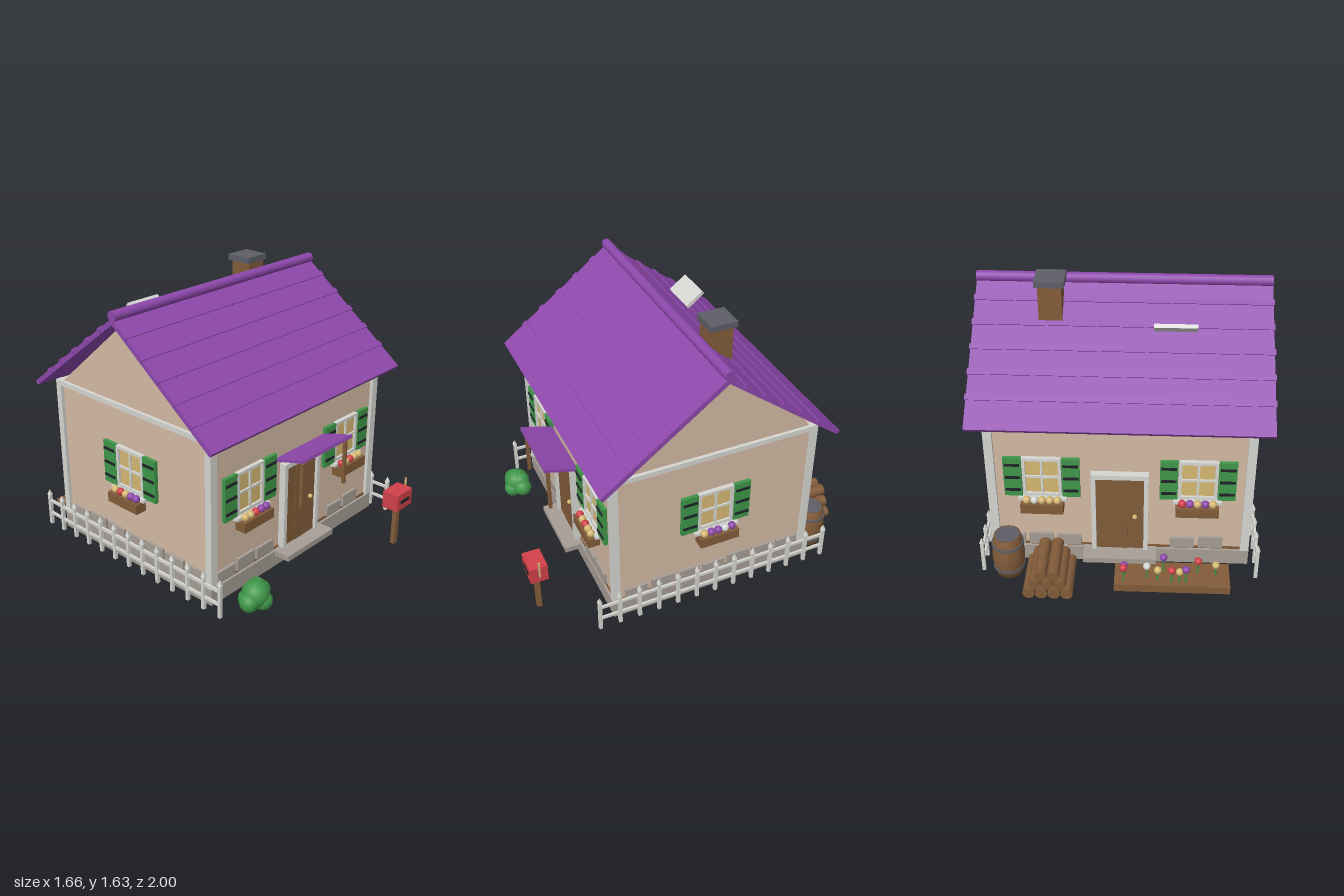
import * as THREE from 'three';

const mat = (name, color) => {
  const m = new THREE.MeshStandardMaterial({ color });
  m.name = name;
  return m;
};
const purple = mat('purple', 0x8e48ac), wall = mat('plaster', 0xd4baa4), trim = mat('trim', 0xd6d6d2);
const stone = mat('stone', 0xa69e96), wood = mat('wood', 0x835c3a), green = mat('green', 0x3f9749);
const yellow = mat('yellow', 0xd6b872), red = mat('red', 0xd2404a);
const slate = mat('slate', 0x5e5e68), black = mat('black', 0x1e2226);

const CZ = -0.05, HX = 0.725, HZ = 0.605; // house centre and wall half sizes

function add(parent, name, geo, material, x = 0, y = 0, z = 0) {
  const m = new THREE.Mesh(geo, material);
  m.name = name;
  m.position.set(x, y, z);
  parent.add(m);
  return m;
}
const box = (p, name, material, w, h, d, x, y, z) => add(p, name, new THREE.BoxGeometry(w, h, d), material, x, y, z);
const ball = (p, name, material, r, x, y, z) => add(p, name, new THREE.SphereGeometry(r, 16, 12), material, x, y, z);
function group(p, name, x = 0, y = 0, z = 0, ry = 0) {
  const g = new THREE.Group();
  g.name = name;
  g.position.set(x, y, z);
  g.rotation.y = ry;
  p.add(g);
  return g;
}

// Window with shutters and flower box, facing +z from the wall plane
function addWindow(p, x, blooms) {
  const g = group(p, 'window', x, 0.6375, 0);
  box(g, 'glass', yellow, 0.21, 0.25, 0.012, 0, 0, 0.006);
  for (const s of [-1, 1]) {
    box(g, 'frameSide', trim, 0.018, 0.255, 0.026, s * 0.1, 0, 0.013);
    box(g, 'frameRail', trim, 0.215, 0.018, 0.026, 0, s * 0.119, 0.013);
    box(g, 'shutter', green, 0.1, 0.26, 0.022, s * 0.162, 0, 0.017);
    for (let i = -1; i <= 1; i++) box(g, 'shutterSlot', black, 0.085, 0.015, 0.008, s * 0.162, i * 0.085, 0.03);
  }
  box(g, 'mullion', trim, 0.014, 0.24, 0.02, 0, 0, 0.012);
  box(g, 'crossbar', trim, 0.2, 0.014, 0.02, 0, 0, 0.012);
  box(g, 'sill', trim, 0.27, 0.018, 0.05, 0, -0.138, 0.025);
  box(g, 'flowerBox', wood, 0.24, 0.06, 0.07, 0, -0.178, 0.055);
  blooms.forEach((m, i) => ball(g, 'flower', m, 0.023, (i - 2) * 0.043, -0.132, 0.06));
}

// Door with frame, knob and step
function addDoor(p) {
  const g = group(p, 'door');
  for (let i = -1; i <= 1; i++) box(g, 'doorPlank', wood, 0.09, 0.51, i ? 0.024 : 0.03, i * 0.09, 0.388, 0.012);
  for (const s of [-1, 1]) box(g, 'doorPost', trim, 0.026, 0.54, 0.044, s * 0.148, 0.405, 0.02);
  box(g, 'doorLintel', trim, 0.322, 0.03, 0.044, 0, 0.66, 0.02);
  ball(g, 'doorKnob', yellow, 0.014, 0.085, 0.38, 0.036);
  box(g, 'doorStep', stone, 0.42, 0.034, 0.12, 0, 0.118, 0.06);
}

// Row of uneven stones along the foot of a wall
function addStones(p, half, gap) {
  for (let x = -half + 0.08, i = 0; x < half - 0.06; x += 0.163, i++) {
    if (Math.abs(x) < gap) continue;
    const h = 0.065 + 0.012 * ((i * 2) % 3) / 2;
    box(p, 'wallStone', stone, 0.14, h, 0.02, x, 0.145 + h / 2, 0.008);
  }
}

function addRoof(p) {
  const angle = Math.atan2(0.535, 0.705), len = 0.885;
  for (const ry of [0, Math.PI]) {
    const g = group(group(p, 'roofSide', 0, 1.535, CZ, ry), 'roofSlope');
    g.rotation.x = angle;
    box(g, 'roofPanel', purple, 1.65, 0.028, len, 0, 0, len / 2);
    for (let i = 0; i < 5; i++)
      box(g, 'roofBatten', purple, 1.662, 0.022, 0.034, 0, 0.009, len * (0.13 + i * 0.166));
  }
  const ridge = add(p, 'ridgeCap', new THREE.CylinderGeometry(0.03, 0.03, 1.65, 16), purple, 0, 1.562, CZ);
  ridge.rotation.z = Math.PI / 2;
}

function addFence(p, x) {
  const g = group(p, 'fence', x, 0, CZ);
  for (let i = 0; i < 13; i++) {
    const z = (i - 6) * 0.121;
    box(g, 'picket', trim, 0.02, 0.205, 0.02, 0, 0.13, z);
    const tip = add(g, 'picketTip', new THREE.ConeGeometry(0.018, 0.035, 4), trim, 0, 0.249, z);
    tip.rotation.y = Math.PI / 4;
  }
  for (const y of [0.105, 0.19]) box(g, 'fenceRail', trim, 0.014, 0.016, 1.45, 0, y, 0);
}

function addBarrel(p) {
  const g = group(p, 'barrel', 0.635, 0.03, -0.775);
  const pts = [[0, 0], [0.076, 0], [0.088, 0.06], [0.094, 0.135], [0.088, 0.21], [0.076, 0.27], [0.066, 0.27], [0.066, 0.262], [0, 0.262]];
  add(g, 'barrelBody', new THREE.LatheGeometry(pts.map(q => new THREE.Vector2(...q)), 20), wood);
  add(g, 'barrelLid', new THREE.CylinderGeometry(0.07, 0.07, 0.006, 20), slate, 0, 0.267, 0);
  for (const y of [0.055, 0.215]) add(g, 'barrelHoop', new THREE.CylinderGeometry(0.092, 0.092, 0.016, 20), slate, 0, y, 0);
}

export function createModel() {
  const model = new THREE.Group();
  model.name = 'cottage';

  // Base, walls and gable
  box(model, 'foundation', stone, 1.49, 0.1, 1.25, 0, 0.08, CZ);
  box(model, 'baseboard', wood, 1.46, 0.016, 1.22, 0, 0.138, CZ);
  box(model, 'walls', wall, HX * 2, 0.89, HZ * 2, 0, 0.575, CZ);
  const tri = new THREE.Shape([[-0.585, 0], [0.585, 0], [0, 0.5]].map(q => new THREE.Vector2(...q)));
  const gable = add(model, 'gable', new THREE.ExtrudeGeometry(tri, { depth: HX * 2, bevelEnabled: false }), wall, -HX, 1.015, CZ);
  gable.rotation.y = Math.PI / 2;

  // Corner posts and top beams
  for (const s of [-1, 1]) {
    for (const t of [-1, 1]) box(model, 'cornerPost', trim, 0.05, 0.87, 0.042, s * 0.72, 0.565, CZ + t * 0.604);
    box(model, 'sideBeam', trim, 0.04, 0.03, 1.25, s * 0.725, 1.007, CZ);
    box(model, 'longBeam', trim, 1.49, 0.03, 0.04, 0, 1.005, CZ + s * 0.605);
    addFence(model, s * 0.785);
  }

  // Four facades
  const front = group(model, 'frontFacade', 0, 0, CZ + HZ);
  const back = group(model, 'backFacade', 0, 0, CZ - HZ, Math.PI);
  const left = group(model, 'leftFacade', HX, 0, CZ, Math.PI / 2);
  const right = group(model, 'rightFacade', -HX, 0, CZ, -Math.PI / 2);
  addWindow(front, -0.434, [yellow, yellow, red, purple, purple]);
  addWindow(front, 0.434, [red, yellow, red, yellow, yellow]);
  addWindow(back, -0.434, [yellow, trim, yellow, yellow, yellow]);
  addWindow(back, 0.434, [red, purple, yellow, purple, yellow]);
  addWindow(left, 0, [yellow, purple, purple, trim, purple]);
  addWindow(right, 0, [yellow, red, yellow, purple, purple]);
  for (const f of [front, back]) {
    addDoor(f);
    addStones(f, 0.7, 0.2);
  }
  for (const f of [left, right]) addStones(f, 0.56, 0);

  // Awning over the front door
  const awning = box(model, 'awning', purple, 0.446, 0.018, 0.2, 0, 0.752, 0.67);
  awning.rotation.x = -0.27;
  for (const s of [-1, 1]) box(model, 'awningPost', wood, 0.018, 0.27, 0.02, s * 0.195, 0.615, 0.742);

  // Roof, chimney and raised skylight
  addRoof(model);
  box(model, 'chimney', wood, 0.13, 0.32, 0.135, 0.397, 1.45, -0.193);
  box(model, 'chimneyCap', slate, 0.165, 0.035, 0.162, 0.397, 1.622, -0.196);
  const skylight = box(model, 'skylight', trim, 0.235, 0.022, 0.13, -0.29, 1.42, -0.353);
  skylight.rotation.x = 0.66;

  // Bush
  const bush = group(model, 'bush', -0.57, 0, 0.74);
  [[0, 0.1, 0, 0.08], [-0.065, 0.08, 0.01, 0.055], [0.065, 0.085, -0.02, 0.056], [0.02, 0.065, 0.035, 0.056],
    [-0.03, 0.07, -0.03, 0.055], [0.03, 0.12, -0.02, 0.055]].forEach(([x, y, z, r]) => ball(bush, 'leaves', green, r, x, y, z));

  // Mailbox
  const mail = group(model, 'mailbox', 0.478, 0, 0.94);
  box(mail, 'mailPost', wood, 0.034, 0.28, 0.028, 0, 0.17, 0);
  box(mail, 'mailBody', red, 0.15, 0.105, 0.104, 0, 0.343, 0);
  box(mail, 'mailSlot', black, 0.085, 0.018, 0.009, 0, 0.343, 0.054);
  box(mail, 'mailFlag', yellow, 0.009, 0.105, 0.01, 0.083, 0.388, 0);

  // Barrel and stacked logs
  addBarrel(model);
  for (let row = 0; row < 3; row++)
    for (let i = 0; i < 4 - row; i++) {
      const log = add(model, 'log', new THREE.CylinderGeometry(0.035, 0.035, 0.29, 12), wood,
        0.392 + (i - (3 - row) / 2) * 0.071, 0.066 + row * 0.063, -0.855);
      log.rotation.x = Math.PI / 2;
    }

  // Garden bed with flowers
  box(model, 'gardenBed', wood, 0.655, 0.05, 0.19, -0.303, 0.055, -0.83);
  [[-0.55, -0.825, yellow], [-0.45, -0.81, red], [-0.38, -0.893, purple], [-0.345, -0.888, yellow], [-0.3, -0.89, red],
    [-0.253, -0.8, purple], [-0.222, -0.878, yellow], [-0.16, -0.862, trim], [-0.028, -0.893, red], [-0.03, -0.845, purple],
  ].forEach(([x, z, m], i) => {
    const h = 0.07 + 0.012 * (i % 3);
    add(model, 'stem', new THREE.CylinderGeometry(0.006, 0.006, h, 6), green, x, 0.08 + h / 2, z);
    ball(model, 'gardenFlower', m, 0.022, x, 0.085 + h, z);
  });
  return model;
}
